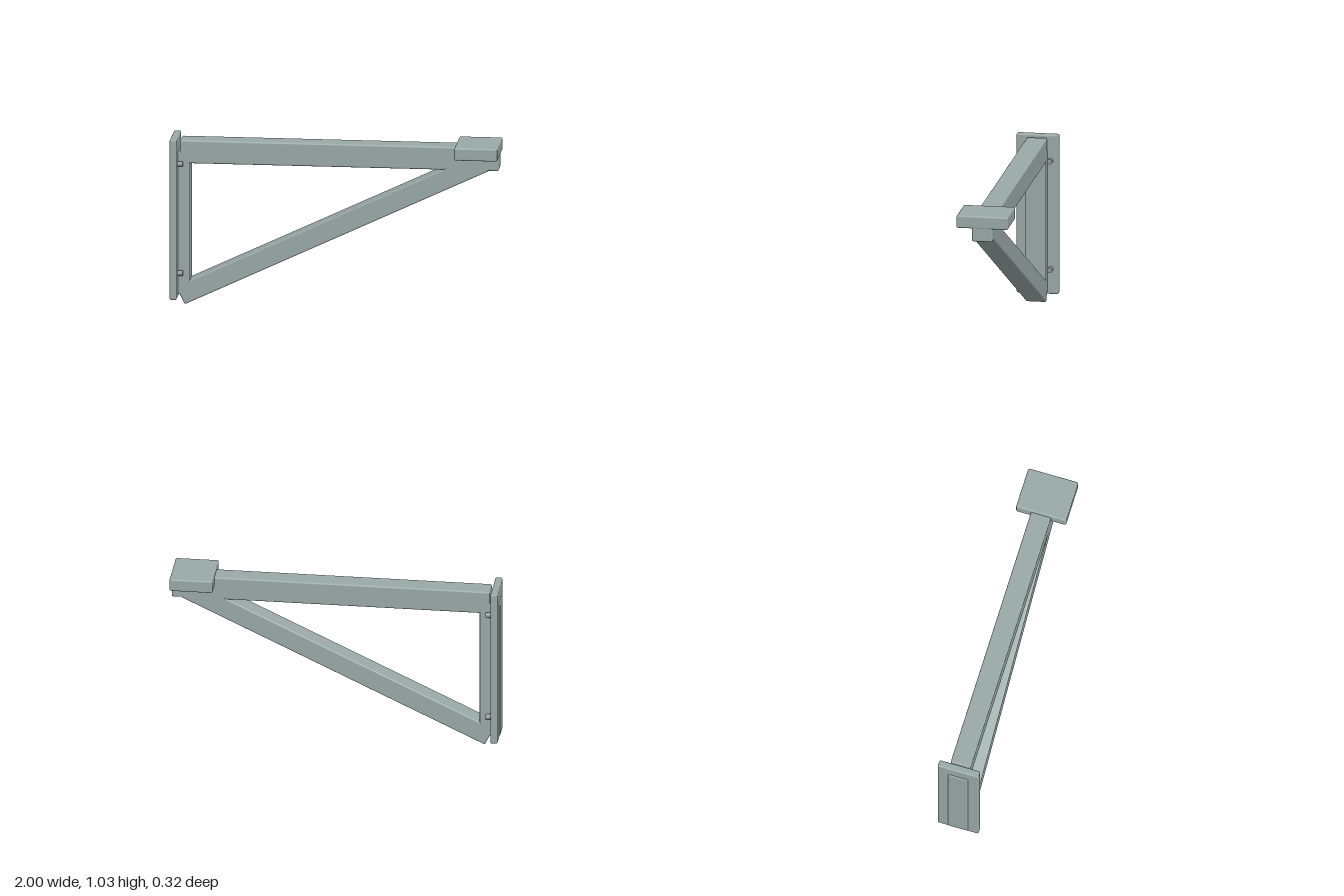
import * as THREE from 'three';
import { RoundedBoxGeometry } from 'three/addons/geometries/RoundedBoxGeometry.js';

export function createModel() {
  const group = new THREE.Group();
  const paint = new THREE.MeshStandardMaterial({ color: 0x9aa8a8 });
  const steel = new THREE.MeshStandardMaterial({ color: 0x999999 });

  // Softly bevelled block given by its x and y limits, centred on z = 0
  function block(name, x0, x1, y0, y1, depth, radius = 0.01) {
    const geometry = new RoundedBoxGeometry(x1 - x0, y1 - y0, depth, 3, radius);
    const mesh = new THREE.Mesh(geometry, paint);
    mesh.name = name;
    mesh.position.set((x0 + x1) / 2, (y0 + y1) / 2, 0);
    group.add(mesh);
    return mesh;
  }

  const beam = 0.126;
  block('wallPlate', -0.992, -0.948, 0.04, 1.034, 0.258);
  block('post', -1, -0.875, 0.06, 0.943, beam);
  block('arm', -0.936, 0.998, 0.875, 1.018, beam);
  block('supportPad', 0.738, 1, 0.956, 1.034, 0.316);

  // Diagonal brace, placed from its lowest corner
  const angle = Math.atan(0.4735);
  const length = 2.045, thickness = 0.123;
  const brace = block('brace', 0, length, 0, thickness, beam);
  brace.position.set(length / 2, thickness / 2, 0)
    .applyAxisAngle(new THREE.Vector3(0, 0, 1), angle)
    .add(new THREE.Vector3(-0.907, -0.001, 0));
  brace.rotation.z = angle;

  // Bolt heads on the front of the wall plate
  const boltGeometry = new THREE.CylinderGeometry(0.016, 0.016, 0.045, 20).rotateZ(Math.PI / 2);
  for (const y of [0.197, 0.875]) {
    for (const z of [-0.08, 0.08]) {
      const bolt = new THREE.Mesh(boltGeometry, steel);
      bolt.name = 'bolt';
      bolt.position.set(-0.938, y, z);
      group.add(bolt);
    }
  }
  return group;
}
